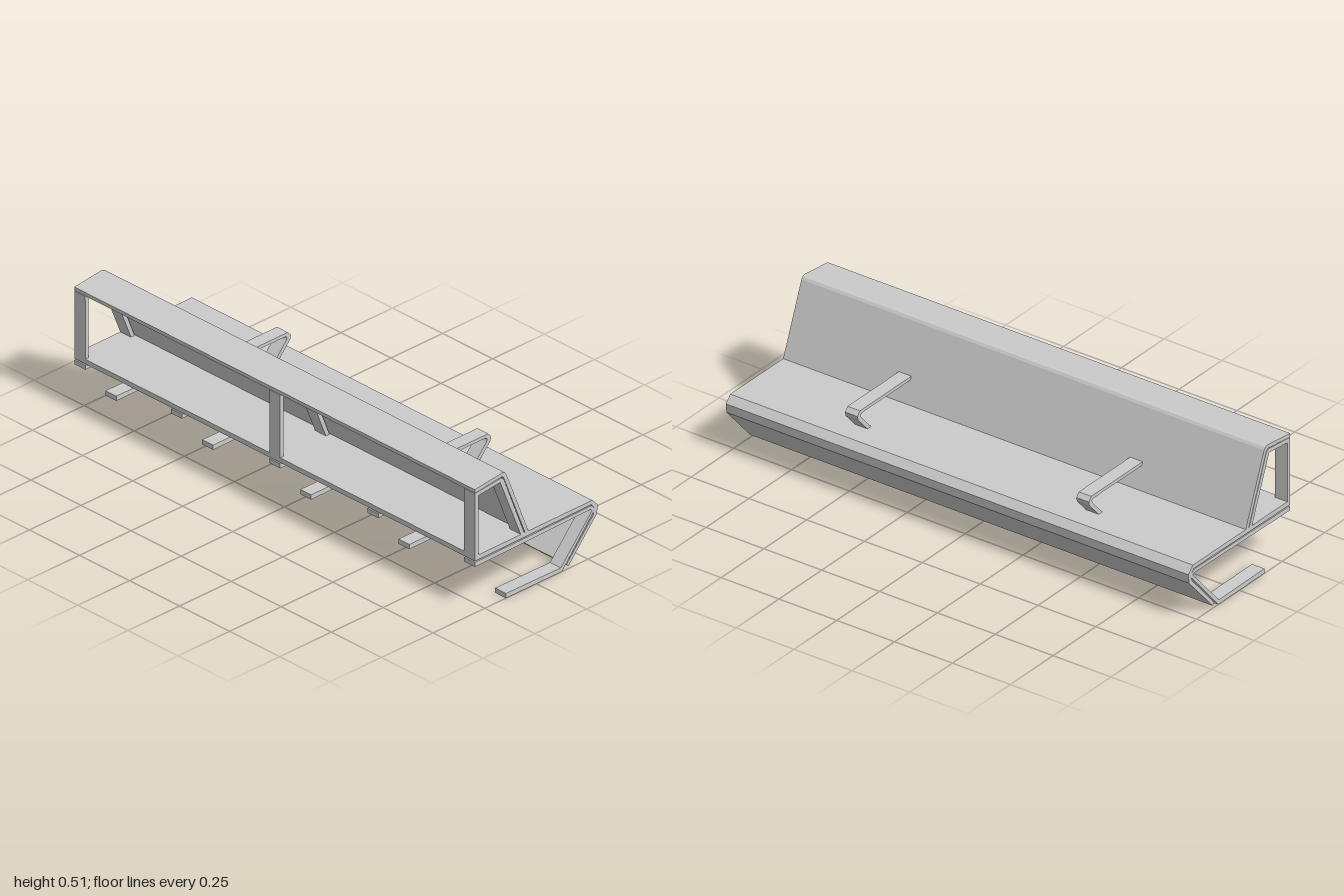
import * as THREE from 'three';

const material = new THREE.MeshStandardMaterial({ color: 0xcccccc, flatShading: true });

// Extrudes a side profile of [z, y] points along x, centred on the given x
function profileGeometry(points, width) {
  const shape = new THREE.Shape(points.map(([z, y]) => new THREE.Vector2(-z, y)));
  const geometry = new THREE.ExtrudeGeometry(shape, { depth: width, bevelEnabled: false });
  return geometry.translate(0, 0, -width / 2).rotateY(Math.PI / 2);
}

export function createModel() {
  const group = new THREE.Group();

  function addPart(name, points, width, positions = [0]) {
    const geometry = profileGeometry(points, width);
    for (const x of positions) {
      const mesh = new THREE.Mesh(geometry, material);
      mesh.name = name;
      mesh.position.x = x;
      group.add(mesh);
    }
  }

  // Seat sheet, folded down over the rear edge
  addPart('seatPanel', [
    [0.297, 0.226], [-0.271, 0.228], [-0.297, 0.201], [-0.293, 0.165], [-0.155, 0.011],
    [-0.146, 0.021], [-0.277, 0.169], [-0.279, 0.196], [-0.266, 0.212], [0.297, 0.207],
  ], 2);

  // Backrest sheet, folded forward into the top shelf
  addPart('backrestPanel', [
    [0.298, 0.493], [0.164, 0.508], [0.152, 0.504], [0.145, 0.495], [0.038, 0.226],
    [0.054, 0.226], [0.159, 0.488], [0.168, 0.493], [0.298, 0.479],
  ], 2);

  // Flat-bar frames carrying the seat, with slanted legs and feet
  addPart('seatFrame', [
    [0.297, 0.202], [-0.267, 0.208], [-0.28, 0.194], [-0.28, 0.182], [-0.123, 0.001],
    [0.147, 0.001], [0.147, 0.02], [-0.118, 0.018], [-0.27, 0.187], [-0.262, 0.194], [0.297, 0.184],
  ], 0.054, [-0.973, -0.49, 0, 0.49, 0.973]);

  const uprights = [-0.973, 0, 0.973];

  // Bent braces behind the backrest
  addPart('backrestFrame', [
    [0.298, 0.477], [0.174, 0.489], [0.165, 0.487], [0.157, 0.477], [0.058, 0.226],
    [0.075, 0.226], [0.175, 0.473], [0.298, 0.461],
  ], 0.054, uprights);

  // Vertical posts under the shelf edge
  addPart('post', [
    [0.297, 0.226], [0.281, 0.226], [0.281, 0.464], [0.297, 0.462],
  ], 0.054, uprights);

  // Armrests
  addPart('armrest', [
    [0.075, 0.32], [-0.225, 0.32], [-0.24, 0.304], [-0.236, 0.287], [-0.181, 0.227],
    [-0.16, 0.227], [-0.217, 0.29], [-0.221, 0.3], [-0.216, 0.307], [0.07, 0.307],
  ], 0.054, [-0.5, 0.5]);

  return group;
}
